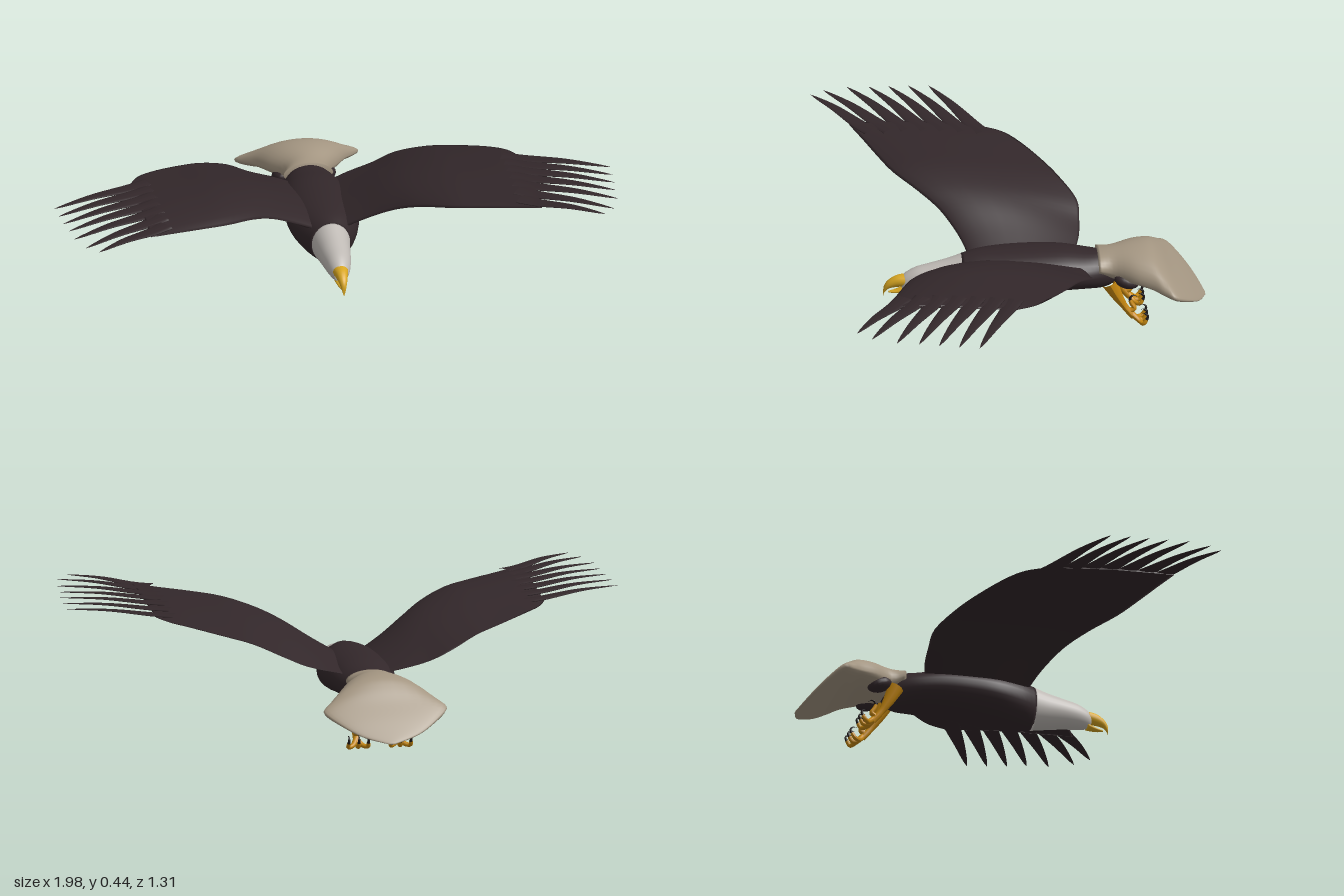
import * as THREE from 'three';

const mat = (name, color, side = THREE.FrontSide) => {
  const m = new THREE.MeshStandardMaterial({ color, side });
  m.name = name;
  return m;
};

// Catmull-Rom resampling of a table of station rows
function smooth(rows, steps = 4) {
  const out = [];
  for (let i = 0; i < rows.length - 1; i++) {
    const a = rows[Math.max(i - 1, 0)], b = rows[i], c = rows[i + 1], d = rows[Math.min(i + 2, rows.length - 1)];
    for (let s = 0; s < steps; s++) {
      const t = s / steps;
      out.push(b.map((v, k) => v + 0.5 * t * (c[k] - a[k]
        + t * (2 * a[k] - 5 * v + 4 * c[k] - d[k] + t * (3 * (v - c[k]) + d[k] - a[k])))));
    }
  }
  out.push(rows[rows.length - 1]);
  return out;
}

// Skin closed rings of points and cap both ends
function loft(rings) {
  const n = rings[0].length, last = rings.length - 1, pos = [], idx = [];
  rings.forEach(r => r.forEach(p => pos.push(...p)));
  for (let i = 0; i < last; i++) {
    for (let k = 0; k < n; k++) {
      const a = i * n + k, b = i * n + (k + 1) % n;
      idx.push(a, a + n, b, b, a + n, b + n);
    }
  }
  [0, last].forEach(e => {
    const centre = pos.length / 3;
    pos.push(...[0, 1, 2].map(j => rings[e].reduce((s, p) => s + p[j], 0) / n));
    for (let k = 0; k < n; k++) {
      const a = e * n + k, b = e * n + (k + 1) % n;
      idx.push(centre, ...(e === 0 ? [a, b] : [b, a]));
    }
  });
  const g = new THREE.BufferGeometry();
  g.setAttribute('position', new THREE.Float32BufferAttribute(pos, 3));
  g.setIndex(idx);
  g.computeVertexNormals();
  return g;
}

// Oval body rings from rows of [z, top, bottom, halfWidth]
const ovalLoft = (rows, sides = 28) => loft(smooth(rows).map(([z, top, bottom, w]) =>
  Array.from({ length: sides }, (_, k) => {
    const a = k / sides * Math.PI * 2;
    return [w * Math.cos(a), (top + bottom) / 2 + (top - bottom) / 2 * Math.sin(a), z];
  })));

// Tube along a curve whose radius follows a rule, optionally flattened in y
function taper(points, radius, flat = 1, segs = 14, sides = 10) {
  const curve = new THREE.CatmullRomCurve3(points.map(p => new THREE.Vector3(...p)));
  const g = new THREE.TubeGeometry(curve, segs, 1, sides);
  const p = g.attributes.position, v = new THREE.Vector3();
  for (let i = 0; i < p.count; i++) {
    const t = Math.floor(i / (sides + 1)) / segs, c = curve.getPointAt(t);
    v.fromBufferAttribute(p, i).sub(c).multiplyScalar(Math.max(radius(t), 0.0005));
    p.setXYZ(i, c.x + v.x, c.y + v.y * flat, c.z + v.z);
  }
  g.computeVertexNormals();
  return g;
}

// Reflect across x = 0, keeping faces outward
function mirrored(geo) {
  const g = geo.clone().scale(-1, 1, 1), ix = g.index;
  for (let i = 0; i < ix.count; i += 3) {
    const b = ix.getX(i + 1);
    ix.setX(i + 1, ix.getX(i + 2));
    ix.setX(i + 2, b);
  }
  g.computeVertexNormals();
  return g;
}

export function createModel() {
  const model = new THREE.Group();
  const brown = mat('darkBrownFeathers', 0x32272a);
  const white = mat('whiteHeadFeathers', 0xbfbab5);
  const cream = mat('creamTailFeathers', 0xa39581);
  const yellow = mat('yellowBeak', 0xd9a722);
  const orange = mat('orangeFeet', 0xc4860f);
  const black = mat('blackTalons', 0x1d1819);

  const add = (name, geo, material) => {
    const m = new THREE.Mesh(geo, material);
    m.name = name;
    model.add(m);
  };
  const pair = (name, geo, material) => {
    add(name + 'Left', geo, material);
    add(name + 'Right', mirrored(geo), material);
  };

  // Body, head and open hooked beak
  add('body', ovalLoft([
    [0.2, 0.257, 0.1, 0.068], [0.14, 0.268, 0.094, 0.1], [0.05, 0.272, 0.1, 0.125],
    [-0.05, 0.272, 0.113, 0.125], [-0.15, 0.268, 0.12, 0.115], [-0.23, 0.255, 0.12, 0.1],
    [-0.29, 0.246, 0.117, 0.078], [-0.33, 0.22, 0.13, 0.055], [-0.345, 0.2, 0.15, 0.03]]), brown);
  add('head', ovalLoft([
    [0.41, 0.182, 0.13, 0.022], [0.395, 0.195, 0.125, 0.032], [0.36, 0.213, 0.121, 0.043],
    [0.31, 0.225, 0.117, 0.052], [0.25, 0.24, 0.108, 0.06], [0.195, 0.258, 0.099, 0.069]]), white);
  add('upperBeak', ovalLoft([
    [0.475, 0.118, 0.108, 0.002], [0.473, 0.146, 0.118, 0.007], [0.458, 0.168, 0.136, 0.014],
    [0.43, 0.185, 0.143, 0.021], [0.397, 0.19, 0.145, 0.028]], 16), yellow);
  add('lowerBeak', ovalLoft([
    [0.457, 0.126, 0.121, 0.004], [0.43, 0.132, 0.119, 0.013], [0.397, 0.144, 0.123, 0.022]], 16), yellow);

  // Fan tail: rows of [z, halfWidth, top, bottom, edgeHeight]
  const tailRows = [
    [-0.278, 0.088, 0.254, 0.185, 0.215], [-0.33, 0.082, 0.262, 0.155, 0.2], [-0.4, 0.13, 0.27, 0.15, 0.19],
    [-0.46, 0.165, 0.264, 0.147, 0.178], [-0.5, 0.198, 0.235, 0.135, 0.168], [-0.54, 0.22, 0.192, 0.119, 0.16],
    [-0.59, 0.168, 0.143, 0.096, 0.125], [-0.63, 0.1, 0.1, 0.076, 0.09], [-0.658, 0.012, 0.069, 0.063, 0.066]];
  add('tail', loft(smooth(tailRows).map(([z, w, top, bottom, edge]) =>
    Array.from({ length: 32 }, (_, k) => {
      const a = k / 32 * Math.PI * 2, s = Math.sin(a);
      return [w * Math.cos(a), edge + (s > 0 ? top - edge : edge - bottom) * s, z];
    }))), cream);

  // Wings: rows of [x, leadZ, leadY, trailZ, trailY, topBulge, bottomBulge]
  const wingRows = [
    [0.05, 0.17, 0.225, -0.2, 0.22, 0.025, -0.04], [0.13, 0.2, 0.268, -0.225, 0.24, 0.035, -0.025],
    [0.22, 0.255, 0.32, -0.235, 0.265, 0.045, -0.01], [0.3, 0.325, 0.358, -0.233, 0.3, 0.043, 0],
    [0.4, 0.405, 0.385, -0.18, 0.34, 0.04, 0.005], [0.5, 0.452, 0.4, -0.123, 0.363, 0.033, 0.008],
    [0.6, 0.492, 0.412, -0.055, 0.383, 0.025, 0.008], [0.66, 0.518, 0.42, 0.0, 0.392, 0.019, 0.009],
    [0.695, 0.532, 0.424, 0.07, 0.397, 0.015, 0.011]];
  const half = 12;
  pair('wing', loft(smooth(wingRows).map(([x, lz, ly, tz, ty, top, bottom]) =>
    Array.from({ length: half * 2 }, (_, k) => {
      const u = (1 - Math.cos(k / half * Math.PI)) / 2;
      const bulge = (k <= half ? top : bottom) * Math.sin(Math.PI * Math.pow(u, 0.7));
      return [x, ly + (ty - ly) * u + bulge, lz + (tz - lz) * u];
    }))), brown);

  // Seven spread flight feathers on each wing tip
  const tips = [[0.99, 0.225], [0.987, 0.297], [0.98, 0.367], [0.972, 0.437], [0.968, 0.515], [0.94, 0.6], [0.9, 0.648]];
  tips.forEach(([tx, tz], i) => {
    const u = i / 6, baseZ = 0.095 + 0.405 * u, baseY = 0.402 + 0.026 * u + 0.008 * Math.sin(u * Math.PI);
    const tipY = 0.408 + 0.032 * u, slope = (tz - baseZ) / (tx - 0.69);
    pair('flightFeather' + (i + 1), taper([
      [0.63, baseY, baseZ - 0.06 * slope], [0.69, baseY, baseZ],
      [(0.69 + tx) / 2, (baseY + tipY) / 2 + 0.006, (baseZ + tz) / 2], [tx, tipY, tz]],
    t => 0.033 * Math.pow(1 - t, 0.65), 0.16), brown);
  });

  // Legs trailing under the tail, with curled toes and hooked talons
  const cx = 0.075;
  const thigh = new THREE.SphereGeometry(1, 16, 12).scale(0.034, 0.026, 0.045).rotateX(-0.3).translate(0.08, 0.168, -0.375);
  pair('thigh', thigh, brown);
  pair('leg', taper([[cx, 0.165, -0.315], [cx, 0.11, -0.342], [cx, 0.06, -0.372], [cx, 0.025, -0.4]],
    t => 0.03 - 0.018 * Math.min(1, t * 1.5)), orange);
  const toes = [-0.034, 0, 0.036].map((dx, i) => ({
    toe: [[cx, 0.035, -0.395], [cx + dx * 0.5, 0.014, -0.412 - i * 0.004], [cx + dx, 0.012, -0.432], [cx + dx, 0.028, -0.443]],
    talon: [[cx + dx, 0.026, -0.442], [cx + dx, 0.043, -0.447], [cx + dx, 0.052, -0.436], [cx + dx, 0.05, -0.425]],
  }));
  toes.push({
    toe: [[cx, 0.045, -0.385], [cx, 0.058, -0.402], [cx, 0.075, -0.393], [cx, 0.09, -0.386]],
    talon: [[cx, 0.088, -0.387], [cx, 0.102, -0.39], [cx, 0.107, -0.402], [cx, 0.1, -0.415]],
  });
  toes.forEach(({ toe, talon }, i) => {
    pair('toe' + (i + 1), taper(toe, t => 0.0105 - 0.004 * t), orange);
    pair('talon' + (i + 1), taper(talon, t => 0.006 * (1 - t)), black);
  });

  return model;
}
